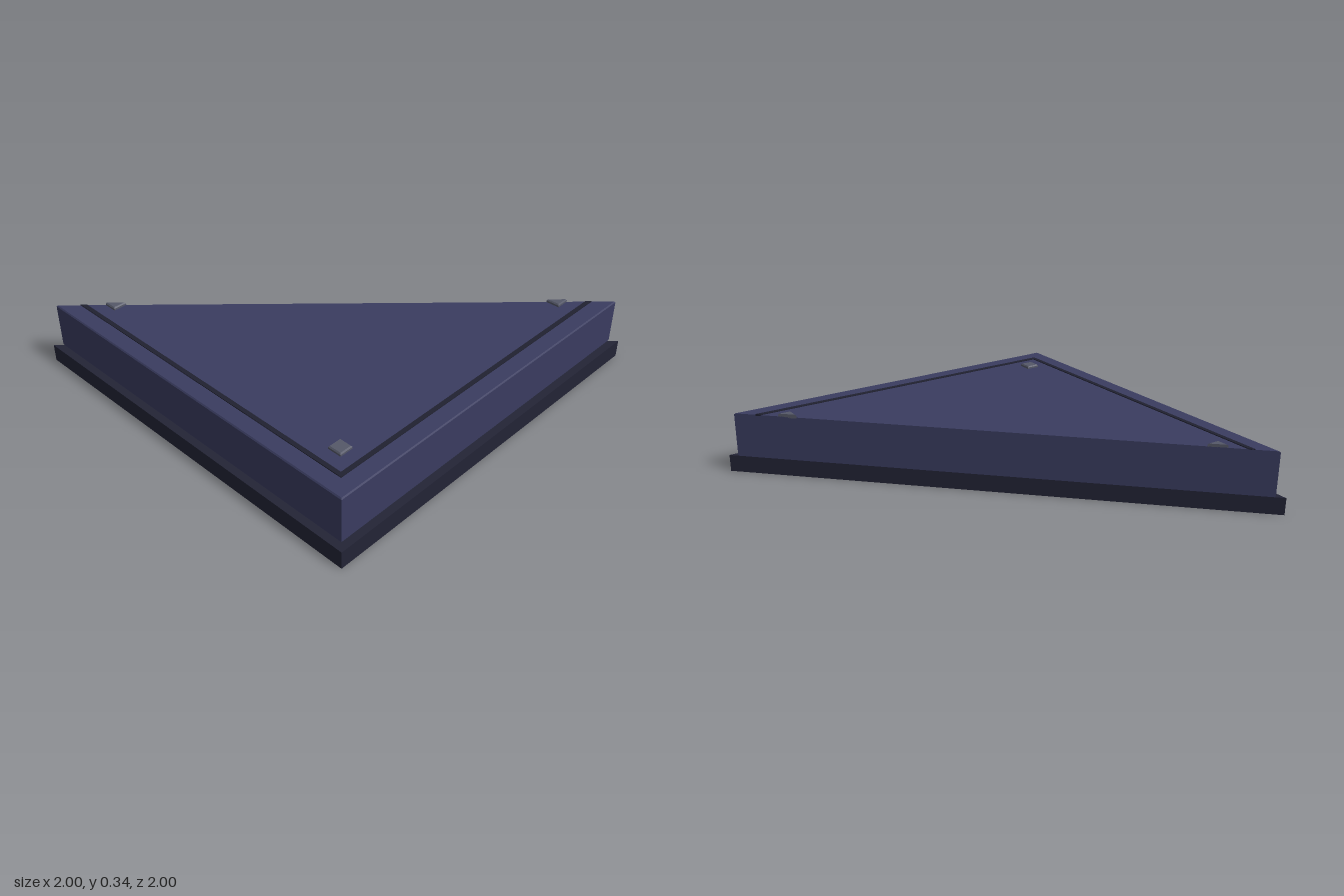
import * as THREE from 'three';

// Stack of convex outlines [[x, z], ...] at given heights, capped at both ends
function loft(layers) {
  const pos = [];
  const rings = layers.map(([y, pts]) => pts.map(([x, z]) => [x, y, z]));
  const tri = (a, b, c) => pos.push(...a, ...b, ...c);
  const n = rings[0].length;
  for (let k = 0; k + 1 < rings.length; k++) {
    const lo = rings[k], up = rings[k + 1];
    for (let i = 0; i < n; i++) {
      const j = (i + 1) % n;
      tri(lo[i], lo[j], up[j]);
      tri(lo[i], up[j], up[i]);
    }
  }
  const top = rings[rings.length - 1], bottom = rings[0];
  for (let i = 1; i + 1 < n; i++) {
    tri(top[0], top[i], top[i + 1]);
    tri(bottom[0], bottom[i + 1], bottom[i]);
  }
  const geo = new THREE.BufferGeometry();
  geo.setAttribute('position', new THREE.Float32BufferAttribute(pos, 3));
  geo.computeVertexNormals();
  return geo;
}

// Half-square outline, cut along the diagonal z = x
const halfSquare = (a) => [[-a, -a], [-a, a], [a, a]];

export function createModel() {
  const group = new THREE.Group();
  const material = (color) => new THREE.MeshStandardMaterial({ color, flatShading: true });
  const bodyMat = material(0x3a3c60);
  const baseMat = material(0x232436);
  const trimMat = material(0x202130);
  const studMat = material(0x555868);
  const add = (name, layers, mat) => {
    const mesh = new THREE.Mesh(loft(layers), mat);
    mesh.name = name;
    group.add(mesh);
  };

  // Plinth and the thicker slab on it, with slightly eased edges
  add('basePlinth', [[0, halfSquare(1)], [0.09, halfSquare(1)]], baseMat);
  add('bodySlab', [
    [0.09, halfSquare(0.96)], [0.096, halfSquare(0.965)],
    [0.32, halfSquare(0.965)], [0.326, halfSquare(0.96)],
  ], bodyMat);

  // Dark trim lines running parallel to the two straight sides
  const o = 0.882, i = 0.86;
  const strips = {
    sideTrim: [[-o, -o], [-o, o], [-i, i], [-i, -i]],
    frontTrim: [[-o, o], [o, o], [i, i], [-i, i]],
  };
  for (const [name, pts] of Object.entries(strips)) {
    add(name, [[0.32, pts], [0.33, pts]], trimMat);
  }

  // Corner studs: one whole, two halved by the diagonal cut
  const c = 0.76;
  const square = (h) => [[-h, -h], [-h, h], [h, h], [h, -h]];
  for (const [name, x, z, outline] of [
    ['cornerStud', -c, c, square],
    ['backStud', -c, -c, halfSquare],
    ['leftStud', c, c, halfSquare],
  ]) {
    const at = (h) => outline(h).map(([px, pz]) => [px + x, pz + z]);
    add(name, [[0.32, at(0.035)], [0.335, at(0.035)], [0.341, at(0.03)]], studMat);
  }
  return group;
}
